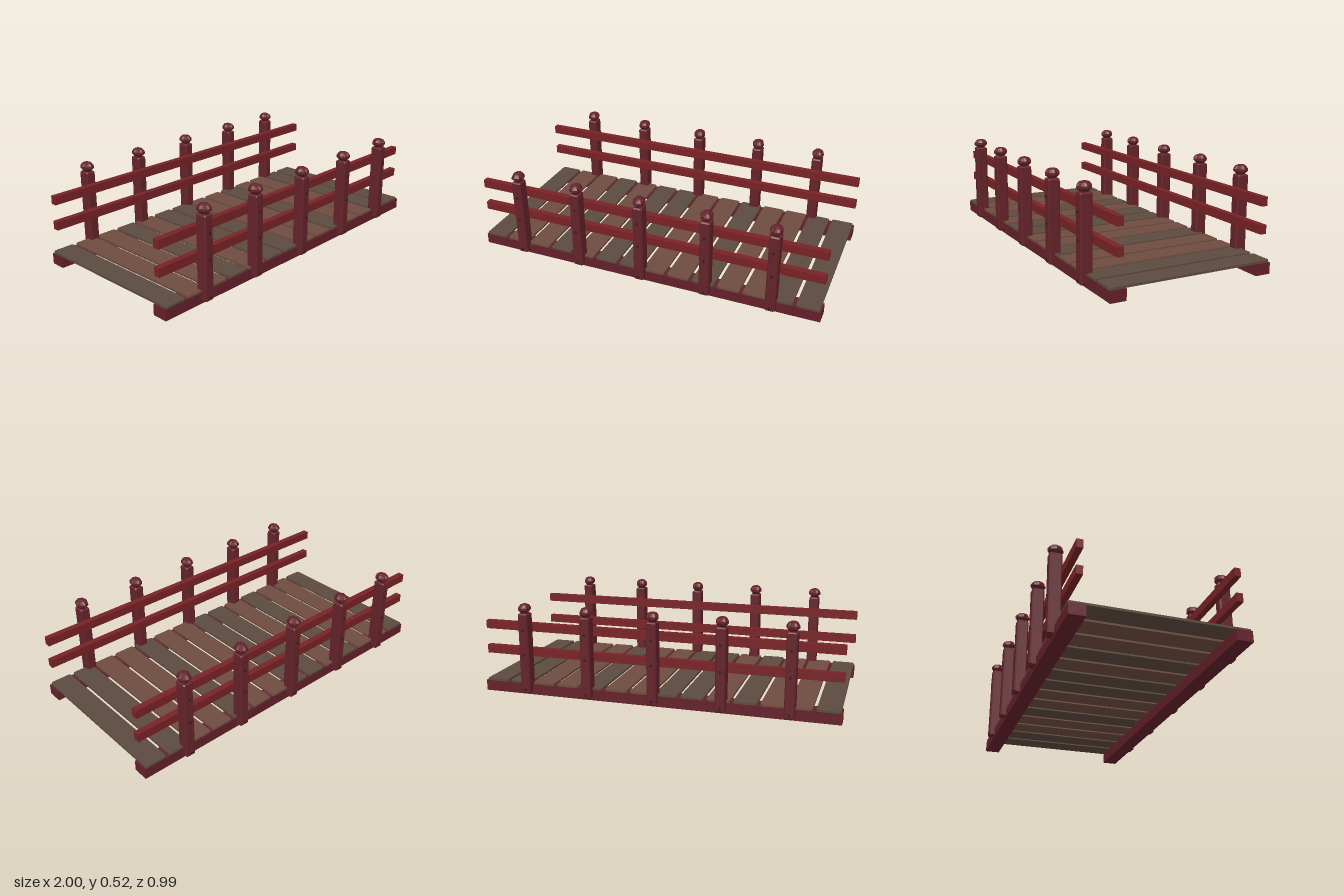
import * as THREE from 'three';

const mat = (color) => new THREE.MeshStandardMaterial({ color, flatShading: true });
const postMat = mat(0x64232a);
const beamMat = mat(0x64202a);
const railMat = mat(0x782225);
const boltMat = mat(0x3a1a1c);
const plankMats = [mat(0x5c4a3e), mat(0x6e4c3f)];

// Rectangle with cut corners, extruded upward from y = 0, with an optional bevel
function cutBlock(w, d, h, cut, bevel = 0) {
  const x = w / 2 - bevel, z = d / 2 - bevel;
  const shape = new THREE.Shape([
    [x - cut, -z], [x, -z + cut], [x, z - cut], [x - cut, z],
    [-x + cut, z], [-x, z - cut], [-x, -z + cut], [-x + cut, -z],
  ].map(([a, b]) => new THREE.Vector2(a, b)));
  const geo = new THREE.ExtrudeGeometry(shape, {
    depth: h - 2 * bevel, bevelEnabled: bevel > 0,
    bevelSize: bevel, bevelThickness: bevel, bevelSegments: 1,
  });
  return geo.translate(0, 0, bevel).rotateX(-Math.PI / 2);
}

// Fluted finial: a lathe whose alternate edges are pulled inward
function finialGeometry() {
  const profile = [[0, 0.462], [0.02, 0.464], [0.026, 0.473], [0.041, 0.486],
    [0.041, 0.499], [0.03, 0.514], [0.014, 0.52], [0, 0.52]];
  const sides = 16;
  const geo = new THREE.LatheGeometry(profile.map(([r, y]) => new THREE.Vector2(r, y)), sides);
  const pos = geo.attributes.position;
  for (let i = 0; i < pos.count; i++) {
    const column = Math.floor(i / profile.length);
    const k = column % 2 ? 0.88 : 1;
    pos.setX(i, pos.getX(i) * k * 0.83);
    pos.setZ(i, pos.getZ(i) * k);
  }
  geo.computeVertexNormals();
  return geo;
}

export function createModel() {
  const bridge = new THREE.Group();
  bridge.name = 'footbridge';
  const add = (parent, name, geo, material, x, y, z) => {
    const mesh = new THREE.Mesh(geo, material);
    mesh.name = name;
    mesh.position.set(x, y, z);
    parent.add(mesh);
    return mesh;
  };

  // Deck planks in two wood tones
  const deck = new THREE.Group();
  deck.name = 'deck';
  bridge.add(deck);
  const plankGeo = cutBlock(0.124, 0.916, 0.012, 0.008);
  [0, 1, 1, 0, 1, 0, 0, 1, 1, 0, 1, 1, 0, 0].forEach((tone, i) => {
    add(deck, 'plank', plankGeo, plankMats[tone], -0.932 + i * 0.1432, 0.06, 0);
  });

  const beamGeo = new THREE.BoxGeometry(2, 0.06, 0.086);
  const railGeo = new THREE.BoxGeometry(2, 0.047, 0.034);
  const postGeo = cutBlock(0.056, 0.066, 0.453, 0.003, 0.006);
  const finialGeo = finialGeometry();
  const boltGeo = new THREE.CylinderGeometry(0.008, 0.008, 0.012, 8).rotateX(Math.PI / 2);

  // Beam, rails and posts, mirrored on both sides
  for (const s of [1, -1]) {
    const side = new THREE.Group();
    side.name = s > 0 ? 'frontRailing' : 'backRailing';
    bridge.add(side);
    add(side, 'beam', beamGeo, beamMat, 0, 0.03, s * 0.415);
    for (const y of [0.237, 0.38]) add(side, 'rail', railGeo, railMat, 0, y, s * 0.406);
    for (const x of [-0.738, -0.377, -0.003, 0.374, 0.738]) {
      add(side, 'post', postGeo, postMat, x, 0.015, s * 0.457);
      add(side, 'finial', finialGeo, postMat, x, 0, s * 0.456);
      for (const y of [0.036, 0.235, 0.375]) add(side, 'bolt', boltGeo, boltMat, x, y, s * 0.488);
    }
  }
  return bridge;
}
